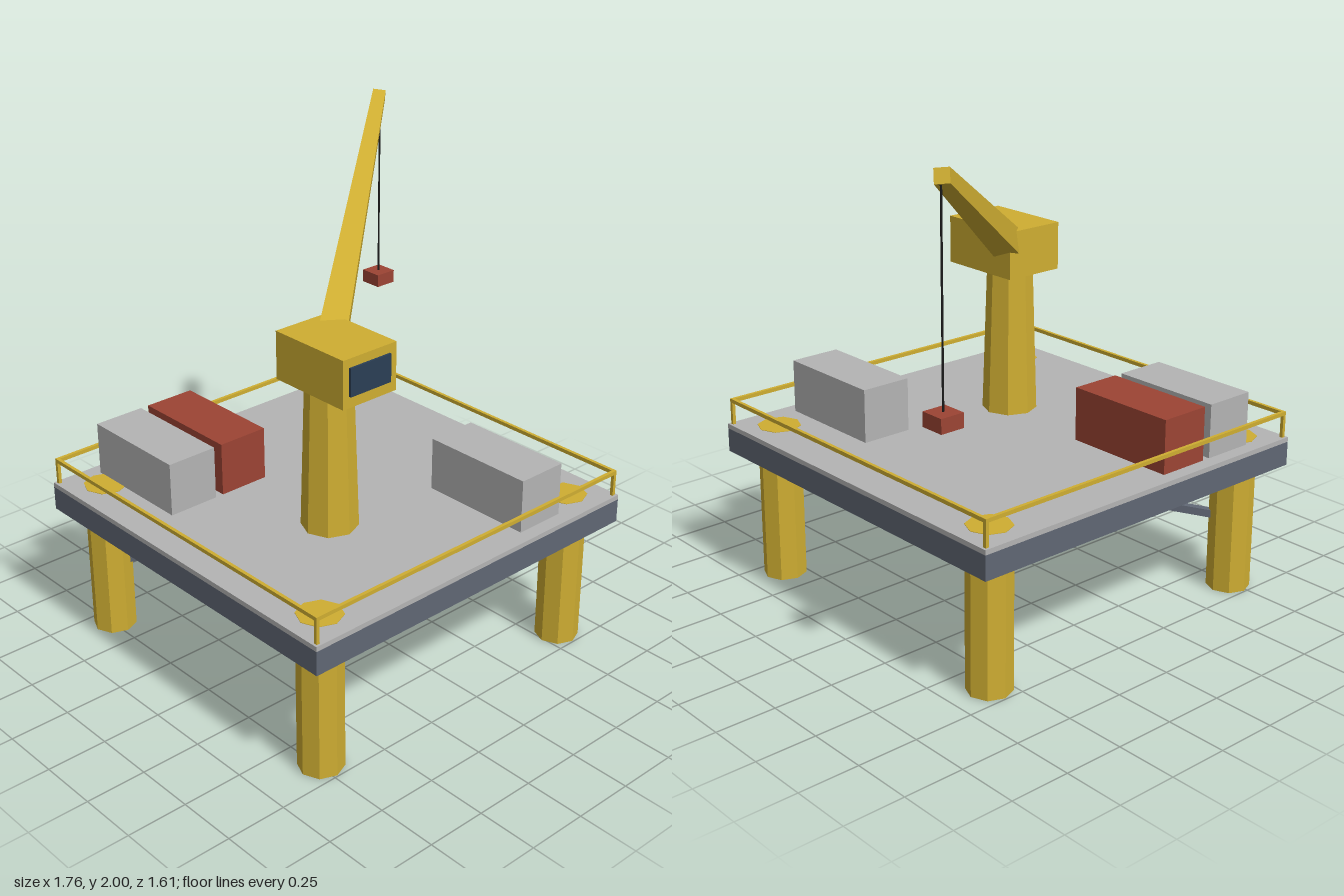
import * as THREE from 'three';

const mat = (name, color, extra = {}) => {
  const m = new THREE.MeshStandardMaterial({ color, ...extra });
  m.name = name;
  return m;
};

export function createModel() {
  const model = new THREE.Group();
  model.name = 'offshoreCranePlatform';

  const yellow = mat('safetyYellow', 0xcfae32, { flatShading: true });
  const grey = mat('deckGrey', 0xb4b4b4);
  const red = mat('containerRed', 0x9c4434);
  const slate = mat('slateSteel', 0x606774);
  const glass = mat('cabGlass', 0x2b3f55);
  const black = mat('cableBlack', 0x1c1c1c);

  const add = (name, geometry, material, x = 0, y = 0, z = 0) => {
    const mesh = new THREE.Mesh(geometry, material);
    mesh.name = name;
    mesh.position.set(x, y, z);
    model.add(mesh);
    return mesh;
  };
  const box = (name, material, w, h, d, x, y, z) =>
    add(name, new THREE.BoxGeometry(w, h, d), material, x, y, z);

  // Square beam from a to b, with its sides upright apart from the roll
  const beam = (name, material, a, b, startSize, endSize, roll = 0) => {
    const start = new THREE.Vector3(...a), end = new THREE.Vector3(...b);
    const geometry = new THREE.BoxGeometry(1, 1, start.distanceTo(end));
    const p = geometry.attributes.position;
    for (let i = 0; i < p.count; i++) {
      const s = p.getZ(i) > 0 ? endSize : startSize;
      p.setXY(i, p.getX(i) * s, p.getY(i) * s);
    }
    geometry.computeVertexNormals();
    geometry.rotateZ(roll);
    const mesh = add(name, geometry, material);
    mesh.position.copy(start).lerp(end, 0.5);
    mesh.lookAt(end);
  };

  // Deck
  const cx = -0.078;
  box('deckSlab', slate, 1.614, 0.1, 1.614, cx, 0.59, 0);
  box('deckPlate', grey, 1.614, 0.02, 1.614, cx, 0.65, 0);

  // Legs, corner posts and diagonal braces
  for (const sz of [-1, 1]) {
    for (const sx of [-1, 1]) {
      add('leg', new THREE.CylinderGeometry(0.09, 0.09, 0.662, 8), yellow, cx + sx * 0.657, 0.331, sz * 0.655);
      box('railPost', yellow, 0.014, 0.11, 0.014, cx + sx * 0.79, 0.71, sz * 0.79);
    }
    beam('brace', slate, [-0.735, 0.306, sz * 0.655], [0.578, 0.61, -sz * 0.655], 0.032, 0.032);
  }

  // Handrails
  for (const s of [-1, 1]) {
    box('handrailAcross', yellow, 1.594, 0.016, 0.014, cx, 0.762, s * 0.79);
    box('handrailAlong', yellow, 0.014, 0.016, 1.594, cx + s * 0.79, 0.762, 0);
  }

  // Cargo containers
  for (const [x, z, m] of [[-0.585, -0.507, grey], [-0.33, -0.507, red], [0.325, 0.505, grey]]) {
    box('container', m, 0.219, 0.223, 0.486, x, 0.7715, z);
  }

  // Crane pedestal, cab and window
  add('cranePedestal', new THREE.CylinderGeometry(0.094, 0.114, 0.62, 8), yellow, -0.28, 0.965, 0.2);
  box('craneCab', yellow, 0.263, 0.196, 0.37, -0.28, 1.368, 0.238);
  box('cabWindow', glass, 0.2, 0.114, 0.009, -0.282, 1.373, 0.4275);

  // Boom, hoist cable and hanging load
  beam('craneBoom', yellow, [-0.24, 1.378, 0.163], [0.83, 1.971, -0.713], 0.11, 0.054, 0.11);
  add('hoistCable', new THREE.CylinderGeometry(0.004, 0.004, 0.81, 6), black, 0.829, 1.56, -0.707);
  box('hangingLoad', red, 0.098, 0.056, 0.098, 0.83, 1.137, -0.708);

  return model;
}
